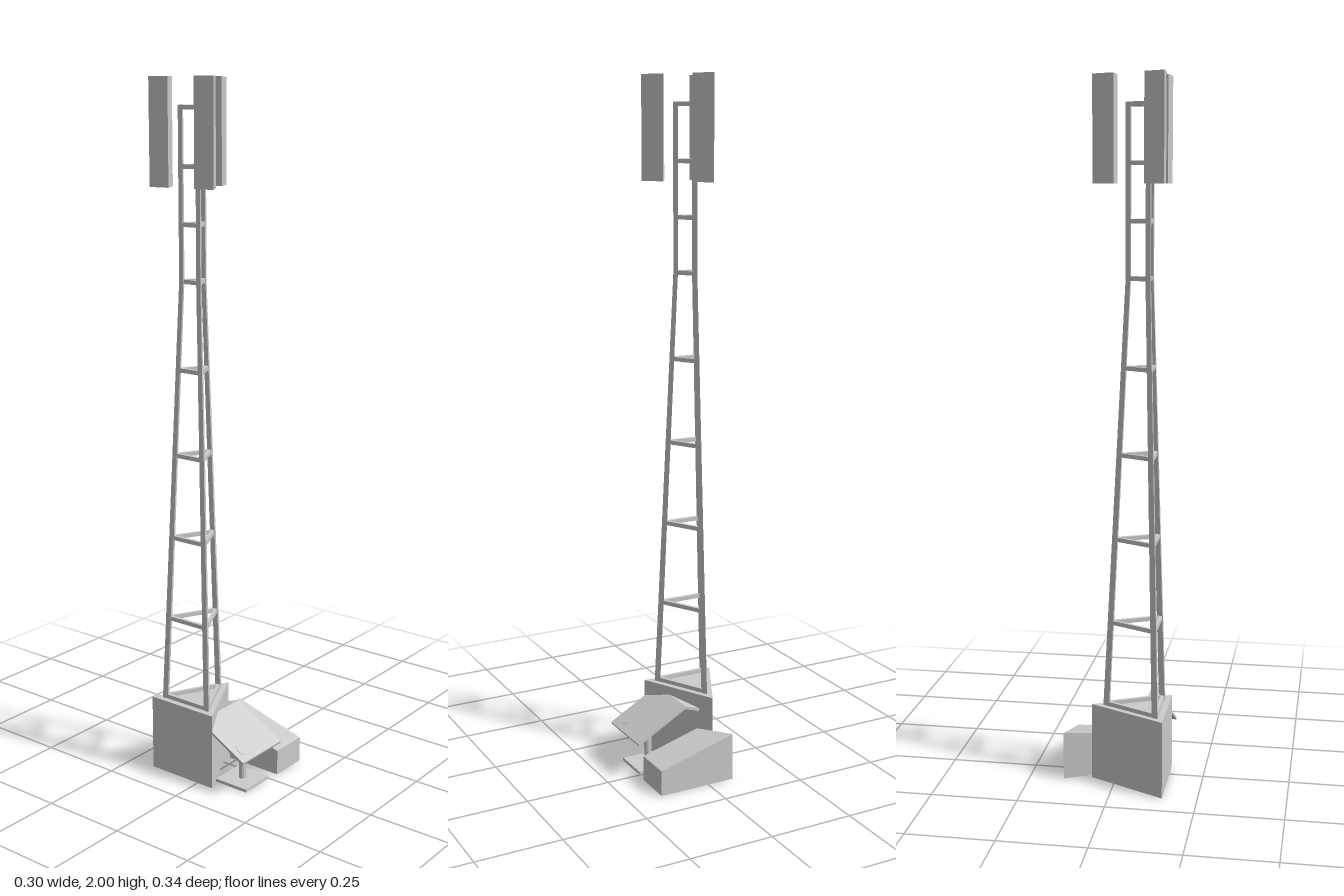
import * as THREE from 'three';
import { ConvexGeometry } from 'three/addons/geometries/ConvexGeometry.js';

const CX = -0.077, CZ = -0.058; // tower axis
const DIRS = [[1, 0], [-0.5, -0.763], [-0.5, 0.763]];
const triangle = (r, cx = CX, cz = CZ) => DIRS.map(([x, z]) => [cx + x * r, cz + z * r]);
const atHeight = (pts, y) => pts.map(([x, z]) => new THREE.Vector3(x, y, z));

export function createModel() {
  const group = new THREE.Group();
  const material = new THREE.MeshStandardMaterial({ color: 0xcccccc, flatShading: true });
  const add = (name, geometry, x = 0, y = 0, z = 0) => {
    const mesh = new THREE.Mesh(geometry, material);
    mesh.name = name;
    mesh.position.set(x, y, z);
    group.add(mesh);
    return mesh;
  };
  const prism = (name, pts, y0, y1, topPts = pts) =>
    add(name, new ConvexGeometry([...atHeight(pts, y0), ...atHeight(topPts, y1)]));

  // Triangular plinth
  prism('plinth', triangle(0.147), 0, 0.225);

  // Tower radius: tapered below, straight above
  const RB = 0.113, RT = 0.049, Y0 = 0.225, Y1 = 1.455, Y2 = 1.925;
  const radius = (y) => (y >= Y1 ? RT : THREE.MathUtils.lerp(RB, RT, (y - Y0) / (Y1 - Y0)));

  // Three legs, each a small triangular section
  const legSection = ([dx, dz], R, r) => triangle(r, CX + dx * (R - r), CZ + dz * (R - r));
  for (const d of DIRS) {
    const low = legSection(d, RB, 0.012), high = legSection(d, RT, 0.0095);
    prism('lowerLeg', low, Y0, Y1, high);
    prism('upperLeg', high, Y1, Y2);
  }

  // Triangular brace frames
  const outline = (pts) => pts.map(([x, z]) => new THREE.Vector2(x, -z));
  for (const y of [0.231, 0.475, 0.72, 0.963, 1.208, 1.455, 1.61, 1.765, 1.92]) {
    const R = radius(y) - 0.002;
    const shape = new THREE.Shape(outline(triangle(R)));
    shape.holes.push(new THREE.Path(outline(triangle(R - 0.021)).reverse()));
    const frame = new THREE.ExtrudeGeometry(shape, { depth: 0.012, bevelEnabled: false });
    frame.rotateX(-Math.PI / 2);
    add('braceFrame', frame, 0, y - 0.006, 0);
  }

  // Triangular antenna panels around the top
  const antennas = [
    [[0, -0.09], [0, -0.026], [0.063, -0.059]],
    [[-0.146, -0.159], [-0.143, -0.095], [-0.088, -0.126]],
    [[-0.141, 0.058], [-0.137, -0.011], [-0.084, 0.02]],
  ];
  for (const pts of antennas) prism('antenna', pts, 1.71, 2);

  // Equipment cabinet with sloping roof and slanted back
  const cabinet = [[0.035, 0.152], [0.15, 0.152], [0.15, -0.08], [0.035, -0.025]];
  const roof = (z) => 0.075 + (0.152 - z) * 0.28;
  add('cabinet', new ConvexGeometry([
    ...atHeight(cabinet, 0),
    ...cabinet.map(([x, z]) => new THREE.Vector3(x, roof(z), z)),
  ]));

  // Folded panel: long front slope, short back slope
  const profile = new THREE.Shape([
    [0.167, 0.113], [0.012, 0.2], [-0.035, 0.183],
    [-0.033, 0.175], [0.012, 0.191], [0.164, 0.106],
  ].map(([z, y]) => new THREE.Vector2(-z, y)));
  const panel = new THREE.ExtrudeGeometry(profile, { depth: 0.182, bevelEnabled: false });
  panel.rotateY(Math.PI / 2);
  add('foldedPanel', panel, -0.15, 0, 0);

  // Small round cap set into the panel
  const cap = add('panelCap', new THREE.CylinderGeometry(0.02, 0.02, 0.004, 24), -0.11, 0.131, 0.133);
  cap.rotation.x = Math.atan2(0.087, 0.155);

  // Panel post and foot plate
  add('panelPost', new THREE.CylinderGeometry(0.011, 0.011, 0.145, 12), -0.055, 0.0755, 0.092);
  add('footPlate', new THREE.BoxGeometry(0.11, 0.009, 0.11), -0.056, 0.0045, 0.092);

  return group;
}
